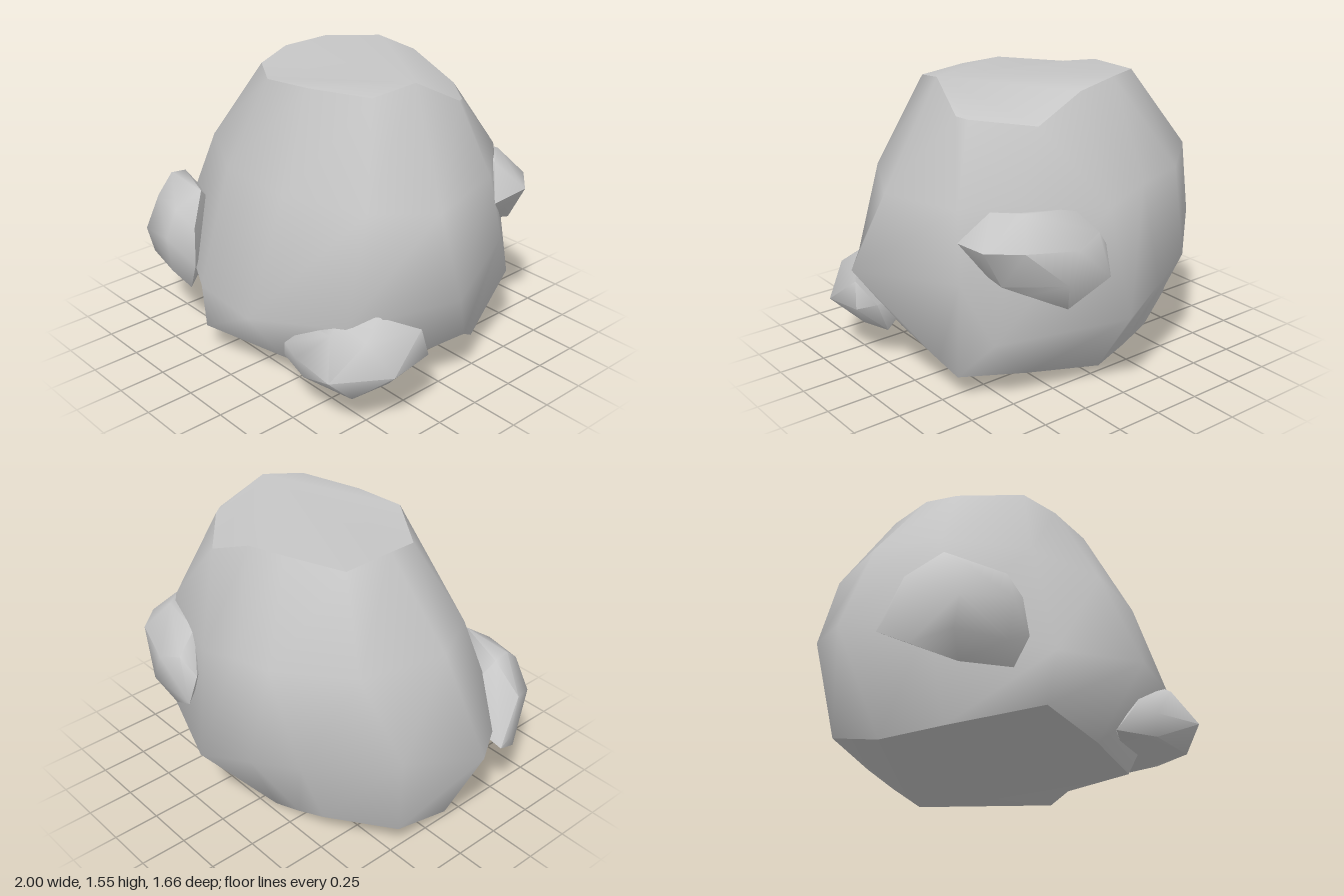
import * as THREE from 'three';
import { mergeVertices, toCreasedNormals } from 'three/addons/utils/BufferGeometryUtils.js';
import { ConvexGeometry } from 'three/addons/geometries/ConvexGeometry.js';

const stone = new THREE.MeshStandardMaterial({ color: 0xc6c6c6 });
stone.name = 'grey stone';

// Cross-sections of the boulder from top to base, each running +x, +z, -x, -z
const rings = [
  [[.55, 1.55, .02], [.49, 1.51, .24], [.17, 1.5, .35], [-.09, 1.49, .39], [-.38, 1.46, .2], [-.43, 1.5, 0],
    [-.43, 1.5, -.28], [-.17, 1.53, -.43], [.06, 1.5, -.46], [.33, 1.38, -.48], [.58, 1.41, -.27], [.61, 1.42, -.22]],
  [[.82, 1, .1], [.66, 1.04, .42], [.25, 1.04, .58], [-.2, 1.04, .57], [-.6, 1.05, .36], [-.77, 1.07, .05],
    [-.68, 1.1, -.42], [-.36, 1.1, -.69], [-.13, 1.07, -.71], [.1, 1, -.73], [.52, 1.08, -.59], [.71, 1.02, -.36]],
  [[1, .63, .14], [.7, .52, .59], [.27, .48, .83], [-.22, .43, .75], [-.76, .5, .49], [-1, .55, .12],
    [-.86, .65, -.3], [-.5, .58, -.63], [-.24, .52, -.73], [.04, .45, -.83], [.67, .4, -.58], [.75, .68, -.42]],
  [[.73, .19, -.2], [.56, .09, .42], [.2, .13, .57], [-.25, .165, .71], [-.6, .07, .41], [-.76, .045, .13],
    [-.78, .15, -.23], [-.44, .12, -.43], [-.27, .06, -.45], [-.09, 0, -.46], [.38, .115, -.46], [.69, .125, -.3]],
];

function add(group, name, points, index) {
  const geometry = new THREE.BufferGeometry();
  geometry.setAttribute('position', new THREE.Float32BufferAttribute(points.flat(), 3));
  geometry.setIndex(index);
  geometry.computeVertexNormals();
  const mesh = new THREE.Mesh(geometry, stone);
  mesh.name = name;
  group.add(mesh);
}

// Close one end of the boulder with a fan from one rim corner
function addCap(group, name, ring, hub, up) {
  const n = ring.length;
  const index = [];
  for (let k = 1; k < n - 1; k++) {
    const a = (hub + k) % n, b = (hub + k + 1) % n;
    index.push(hub, up ? b : a, up ? a : b);
  }
  add(group, name, ring, index);
}

// Smaller stone wrapped around a few corner points, with soft shading
function addStone(group, name, corners) {
  const hull = new ConvexGeometry(corners.map(p => new THREE.Vector3(...p)));
  hull.deleteAttribute('normal');
  const mesh = new THREE.Mesh(toCreasedNormals(mergeVertices(hull), 1.1), stone);
  mesh.name = name;
  group.add(mesh);
}

export function createModel() {
  const group = new THREE.Group();
  group.name = 'boulder';

  // Smooth sides
  const n = rings[0].length;
  const index = [];
  for (let i = 0; i < rings.length - 1; i++) {
    for (let j = 0; j < n; j++) {
      const a = i * n + j, b = i * n + (j + 1) % n;
      index.push(a, b, b + n, a, b + n, a + n);
    }
  }
  add(group, 'boulderSides', rings.flat(), index);

  // Broken-off ends with a crisp rim
  addCap(group, 'boulderTop', rings[0], 0, true);
  addCap(group, 'boulderBase', rings[rings.length - 1], 9, false);

  // Stones embedded in the boulder
  addStone(group, 'frontRightStone', [
    [-.73, .84, .56], [-.43, .84, .58], [-.36, .68, .68], [-.34, .48, .7], [-.42, .31, .68], [-.68, .29, .61],
    [-.87, .36, .5], [-.93, .46, .33], [-.93, .5, .4], [-.89, .69, .48], [-.49, .6, .77], [-.76, .55, .72],
    [-.76, .4, .68], [-.5, .4, .74], [-.7, .75, .67], [-.48, .75, .71], [-.6, .55, .3], [-.73, .83, .47],
  ]);
  addStone(group, 'frontLeftStone', [
    [.28, .2, .62], [.36, .33, .68], [.48, .46, .62], [.64, .54, .58], [.78, .57, .46], [.9, .49, .29],
    [.94, .33, .5], [.92, .35, .26], [.75, .31, .74], [.48, .31, .71], [.8, .19, .4], [.78, .19, .62],
    [.5, .2, .68], [.82, .36, .22], [.5, .3, .4], [.74, .18, .26], [.82, .49, .57], [.66, .49, .65],
  ]);
  addStone(group, 'backLeftStone', [
    [.22, .93, -.79], [.27, 1.02, -.66], [.52, 1.04, -.63], [.62, 1.03, -.49], [.36, .88, -.82], [.61, .9, -.74],
    [.42, .72, -.82], [.74, .89, -.6], [.73, .87, -.38], [.36, .56, -.74], [.53, .65, -.66], [.67, .75, -.45],
    [.15, .69, -.8], [.14, .84, -.75], [.4, .8, -.45], [.64, .7, -.6],
  ]);
  return group;
}
